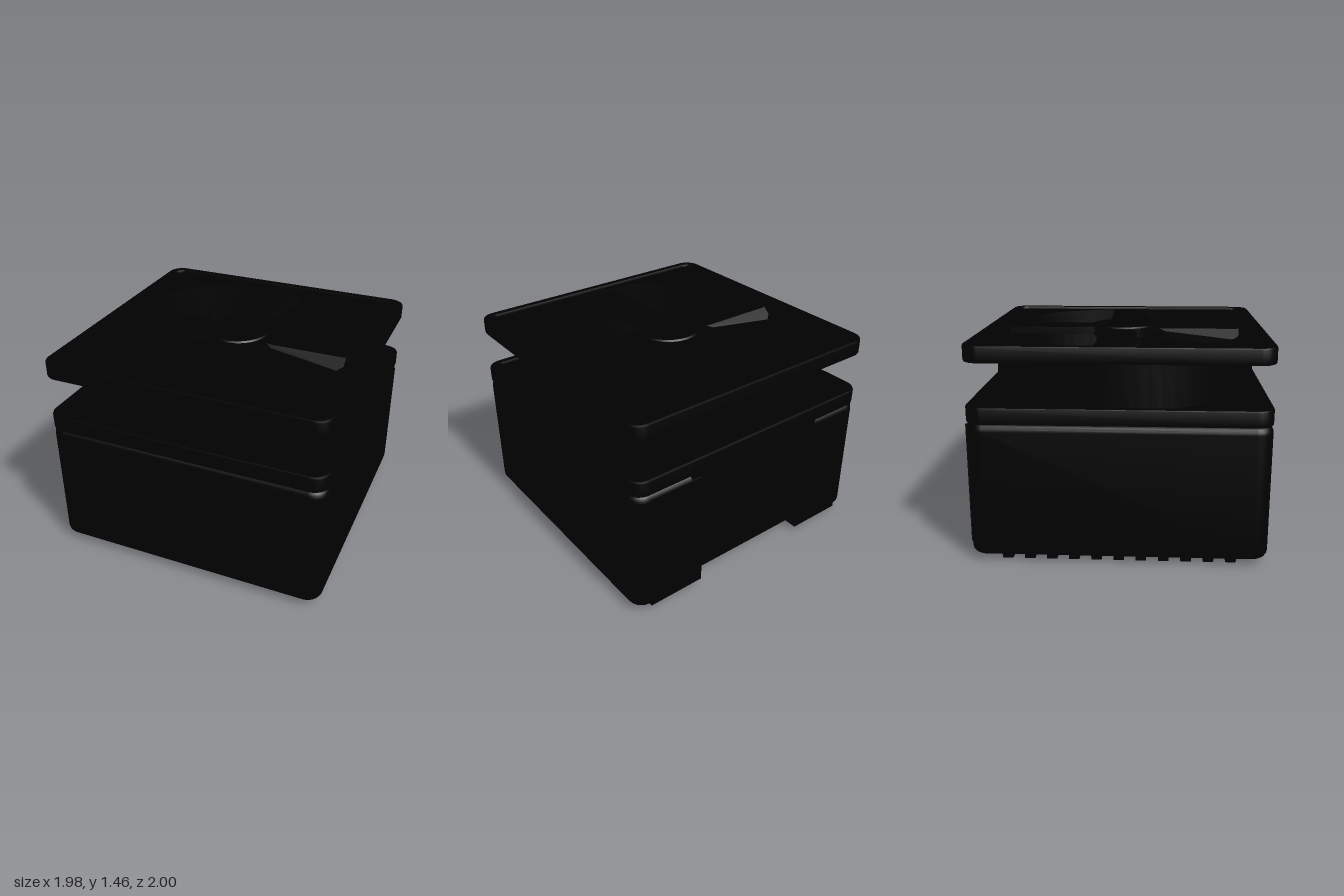
import * as THREE from 'three';
import { toCreasedNormals } from 'three/addons/utils/BufferGeometryUtils.js';

const CZ = 0.012; // centre of the casing in z
const HALF_X = 0.99, HALF_Z = 0.987;

// Plan outline; notch cuts a shallow recess into the back edge
function roundedRect(target, hx, hz, r, notch) {
  const q = Math.PI / 2;
  target.absarc(hx - r, hz - r, r, 0, q);
  if (notch) {
    const { w, d } = notch;
    target.lineTo(w, hz).lineTo(w, hz - d).lineTo(-w, hz - d).lineTo(-w, hz);
  }
  target.absarc(-hx + r, hz - r, r, q, 2 * q);
  target.absarc(-hx + r, -hz + r, r, 2 * q, 3 * q);
  target.absarc(hx - r, -hz + r, r, 3 * q, 4 * q);
  target.closePath();
  return target;
}

// Extrudes a plan shape upward from y0 to y1, with rounded edges
function slab(shape, y0, y1, bevel, segments = 4) {
  const g = new THREE.ExtrudeGeometry(shape, {
    depth: y1 - y0 - 2 * bevel, bevelEnabled: bevel > 0, bevelSize: bevel,
    bevelThickness: bevel, bevelOffset: -bevel, bevelSegments: segments, curveSegments: 10,
  });
  g.rotateX(-Math.PI / 2);
  g.translate(0, y0 + bevel, 0);
  return toCreasedNormals(g, 0.6);
}

const polygon = (points) => new THREE.Shape(points.map(([x, y]) => new THREE.Vector2(x, y)));

export function createModel() {
  const group = new THREE.Group();
  const black = new THREE.MeshStandardMaterial({ color: 0x010101 });
  black.name = 'black plastic';

  function add(name, geometry, x = 0, y = 0, z = 0) {
    const mesh = new THREE.Mesh(geometry, black);
    mesh.name = name;
    mesh.position.set(x, y, z);
    group.add(mesh);
    return mesh;
  }

  // Main casing with a recessed middle at the back, closed above by a ledge
  const casing = roundedRect(new THREE.Shape(), HALF_X, HALF_Z, 0.11, { w: 0.48, d: 0.07 });
  add('casing', slab(casing, 0.04, 0.95, 0.05), 0, 0, CZ);
  add('backLedge', new THREE.BoxGeometry(1.1, 0.05, 0.16), 0, 0.922, -0.892);

  // Ribs under the casing
  for (let i = 0; i < 11; i++) {
    add('bottomRib', new THREE.BoxGeometry(1.85, 0.06, 0.07), 0, 0.03, 0.757 - i * 0.149);
  }

  // Finned panels on the back
  for (const side of [-1, 1]) {
    add('finPanel', new THREE.BoxGeometry(0.42, 0.87, 0.12), side * 0.665, 0.475, -0.914);
    for (let i = 0; i < 6; i++) {
      const fin = add('backFin', new THREE.BoxGeometry(side > 0 ? 0.024 : 0.012, 0.83, 0.04),
        side * (0.505 + i * 0.064), 0.495, -0.98);
      if (side < 0) fin.rotation.y = 0.35;
    }
  }

  // Square flanges of the fan frame: a raised lip around a plate with a round opening
  for (const [name, y0, y1] of [['lowerFlange', 0.947, 1.06], ['upperFlange', 1.343, 1.455]]) {
    const lip = roundedRect(new THREE.Shape(), HALF_X, HALF_Z, 0.11);
    lip.holes.push(roundedRect(new THREE.Path(), HALF_X - 0.055, HALF_Z - 0.055, 0.07));
    add(name + 'Lip', slab(lip, y0, y1, 0.012, 2), 0, 0, CZ);
    const plate = roundedRect(new THREE.Shape(), HALF_X - 0.04, HALF_Z - 0.04, 0.08);
    plate.holes.push(new THREE.Path().absarc(0, 0, 0.922, 0, Math.PI * 2));
    add(name + 'Plate', slab(plate, y0 + 0.02, y1 - 0.02, 0), 0, 0, CZ);
  }

  // Round duct between the flanges
  const ductProfile = [[0.92, 0.95], [0.938, 0.95], [0.938, 1.435], [0.92, 1.435], [0.92, 0.95]]
    .map(([r, y]) => new THREE.Vector2(r, y));
  add('duct', toCreasedNormals(new THREE.LatheGeometry(ductProfile, 64), 0.6), 0, 0, CZ);

  // Floor inside the duct
  add('ductFloor', new THREE.CylinderGeometry(0.925, 0.925, 0.02, 64), 0, 0.955, CZ);

  // Fan hub: a cap on a narrower column
  const hubProfile = [[0, 0.95], [0.2, 0.95], [0.2, 1.37], [0.225, 1.38], [0.225, 1.445], [0.215, 1.455], [0, 1.455]]
    .map(([r, y]) => new THREE.Vector2(r, y));
  add('hub', toCreasedNormals(new THREE.LatheGeometry(hubProfile, 40), 0.5));

  // Four blades: a flat upper face and a vane sloping down along one edge
  const flat = polygon([[-0.07, 0.15], [0.08, 0.15], [0.12, 0.28], [0.12, 0.82], [0.08, 0.87],
    [-0.04, 0.87], [-0.11, 0.82], [-0.11, 0.32]]);
  const vane = polygon([[0.115, 0.26], [0.14, 0.3], [0.2, 0.79], [0.17, 0.83], [0.115, 0.83]]);
  for (let i = 0; i < 4; i++) {
    const blade = new THREE.Group();
    blade.name = 'blade';
    blade.rotation.y = i * Math.PI / 2;
    const sloped = slab(vane, 1.39, 1.44, 0);
    const p = sloped.attributes.position;
    for (let k = 0; k < p.count; k++) p.setY(k, p.getY(k) - (p.getX(k) - 0.115) * 0.8);
    sloped.computeVertexNormals();
    blade.add(add('bladeFace', slab(flat, 1.39, 1.44, 0)), add('bladeVane', sloped));
    group.add(blade);
  }

  return group;
}
